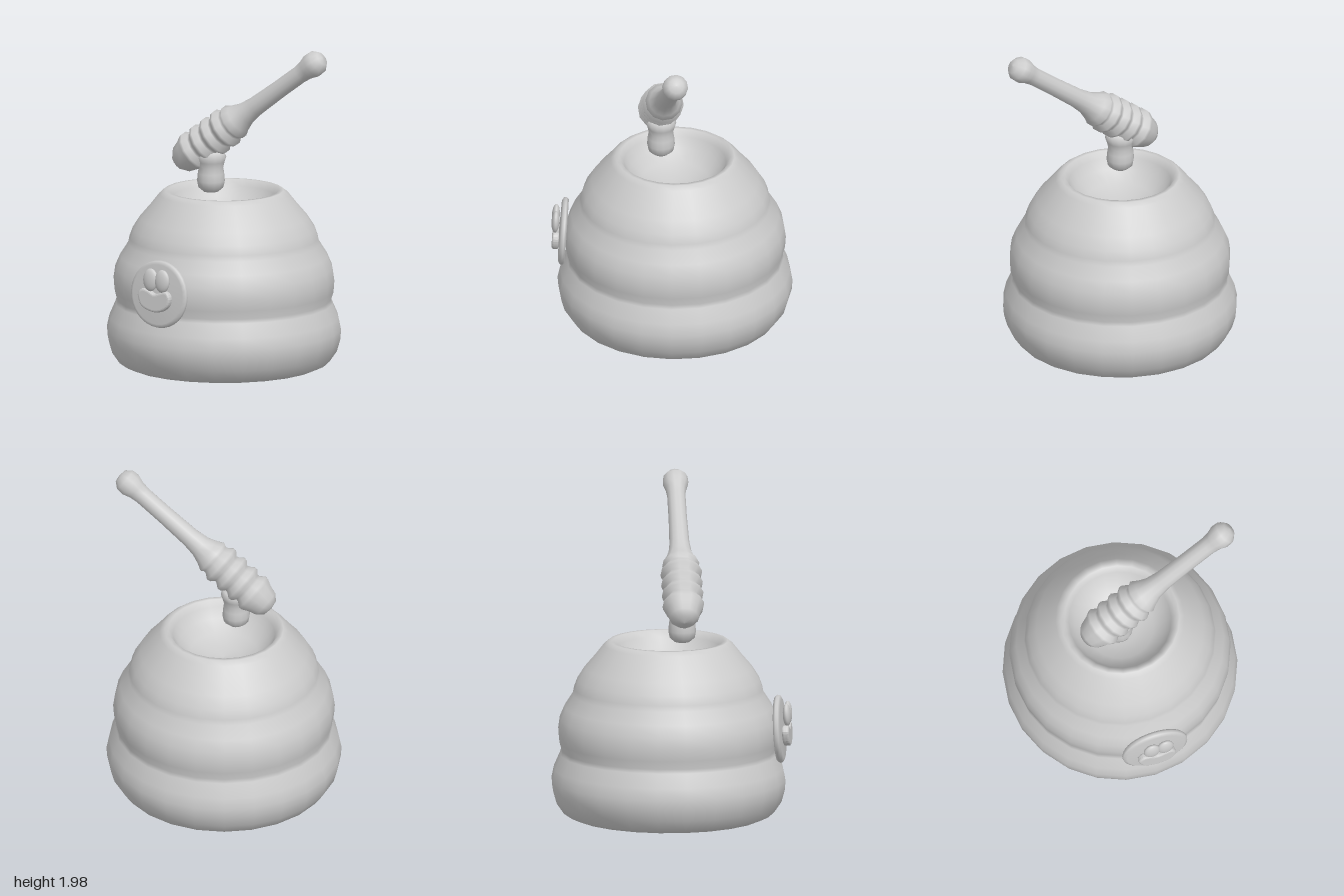
import * as THREE from 'three';

const clay = new THREE.MeshStandardMaterial({ color: 0xcccccc });
clay.name = 'light grey';

function add(parent, name, geometry, x = 0, y = 0, z = 0) {
  const mesh = new THREE.Mesh(geometry, clay);
  mesh.name = name;
  mesh.position.set(x, y, z);
  parent.add(mesh);
  return mesh;
}

// Turned shape from [radius, height] pairs, bottom to top
function turned(pairs, sides) {
  return new THREE.LatheGeometry(pairs.map(([r, h]) => new THREE.Vector2(r, h)), sides);
}

export function createModel() {
  const model = new THREE.Group();
  model.name = 'honeyPot';

  // Pot with three swelling tiers, a rim and a hollow top
  add(model, 'pot', turned([
    [0, 0.005], [0.5, 0.006], [0.58, 0.012], [0.63, 0.035], [0.675, 0.1], [0.695, 0.17],
    [0.7, 0.23], [0.685, 0.3], [0.648, 0.385], [0.64, 0.41], [0.655, 0.46], [0.66, 0.53],
    [0.65, 0.6], [0.62, 0.67], [0.572, 0.745], [0.565, 0.78], [0.545, 0.835], [0.5, 0.905],
    [0.44, 0.975], [0.385, 1.045], [0.355, 1.068], [0.33, 1.068], [0.305, 1.03],
    [0.27, 0.97], [0.2, 0.91], [0.1, 0.875], [0, 0.865],
  ], 24), -0.02, 0, -0.02);

  // Dipper: ridged head, slim handle, rounded knob
  const profile = [[0, -0.045], [0.055, -0.035], [0.088, 0], [0.104, 0.05]];
  for (let i = 0; i < 4; i++) {
    const t = 0.085 + i * 0.085;
    profile.push([0.122, t], [0.125, t + 0.02], [0.102, t + 0.05], [0.1, t + 0.065]);
  }
  profile.push([0.112, 0.425], [0.092, 0.46], [0.07, 0.52], [0.06, 0.6], [0.055, 0.8], [0.055, 0.98],
    [0.062, 1.03], [0.077, 1.075], [0.074, 1.12], [0.045, 1.155], [0, 1.163]);
  const start = new THREE.Vector3(-0.24, 1.25, 0.095);
  const axis = new THREE.Vector3(0.65, 1.925, -0.045).sub(start).normalize();
  const dipper = add(model, 'dipper', turned(profile, 12), start.x, start.y, start.z);
  dipper.quaternion.setFromUnitVectors(new THREE.Vector3(0, 1, 0), axis);

  // Drop of honey hanging from the dipper head
  add(model, 'honeyDrop', turned([
    [0, 1.065], [0.045, 1.07], [0.075, 1.095], [0.083, 1.135], [0.079, 1.18], [0.073, 1.215],
    [0.082, 1.25], [0.092, 1.28], [0.078, 1.31], [0, 1.33],
  ], 14), -0.055, 0, 0.065);

  // Round badge leaning with the wall
  const badge = new THREE.Group();
  badge.name = 'badge';
  badge.position.set(-0.02, 0.545, 0.65);
  badge.rotation.x = -0.06;
  model.add(badge);
  const disc = add(badge, 'badgeDisc', turned([
    [0, -0.025], [0.192, -0.025], [0.203, -0.01], [0.2, 0.005], [0.18, 0.016], [0, 0.022],
  ], 32));
  disc.rotation.x = Math.PI / 2;

  // Two oval eyes
  for (const x of [-0.033, 0.052]) {
    const eye = add(badge, 'eye', new THREE.SphereGeometry(1, 16, 12), x, 0.088, 0.046);
    eye.scale.set(0.051, 0.069, 0.024);
  }

  // Wide muzzle with rounded cheeks
  const outline = new THREE.SplineCurve([
    [-0.105, -0.03], [-0.085, -0.067], [-0.04, -0.088], [0.01, -0.095], [0.06, -0.084],
    [0.095, -0.055], [0.106, -0.01], [0.085, 0.02], [0.05, 0.012], [0, -0.002],
    [-0.045, 0.018], [-0.085, 0.024], [-0.11, 0],
  ].map(([x, y]) => new THREE.Vector2(x, y)).concat(new THREE.Vector2(-0.105, -0.03)));
  const muzzle = new THREE.Shape(outline.getPoints(40).slice(0, -1));
  add(badge, 'muzzle', new THREE.ExtrudeGeometry(muzzle, {
    depth: 0.018, bevelEnabled: true, bevelThickness: 0.012, bevelSize: 0.014,
    bevelOffset: -0.006, bevelSegments: 3,
  }), 0, 0, 0.03);

  return model;
}
